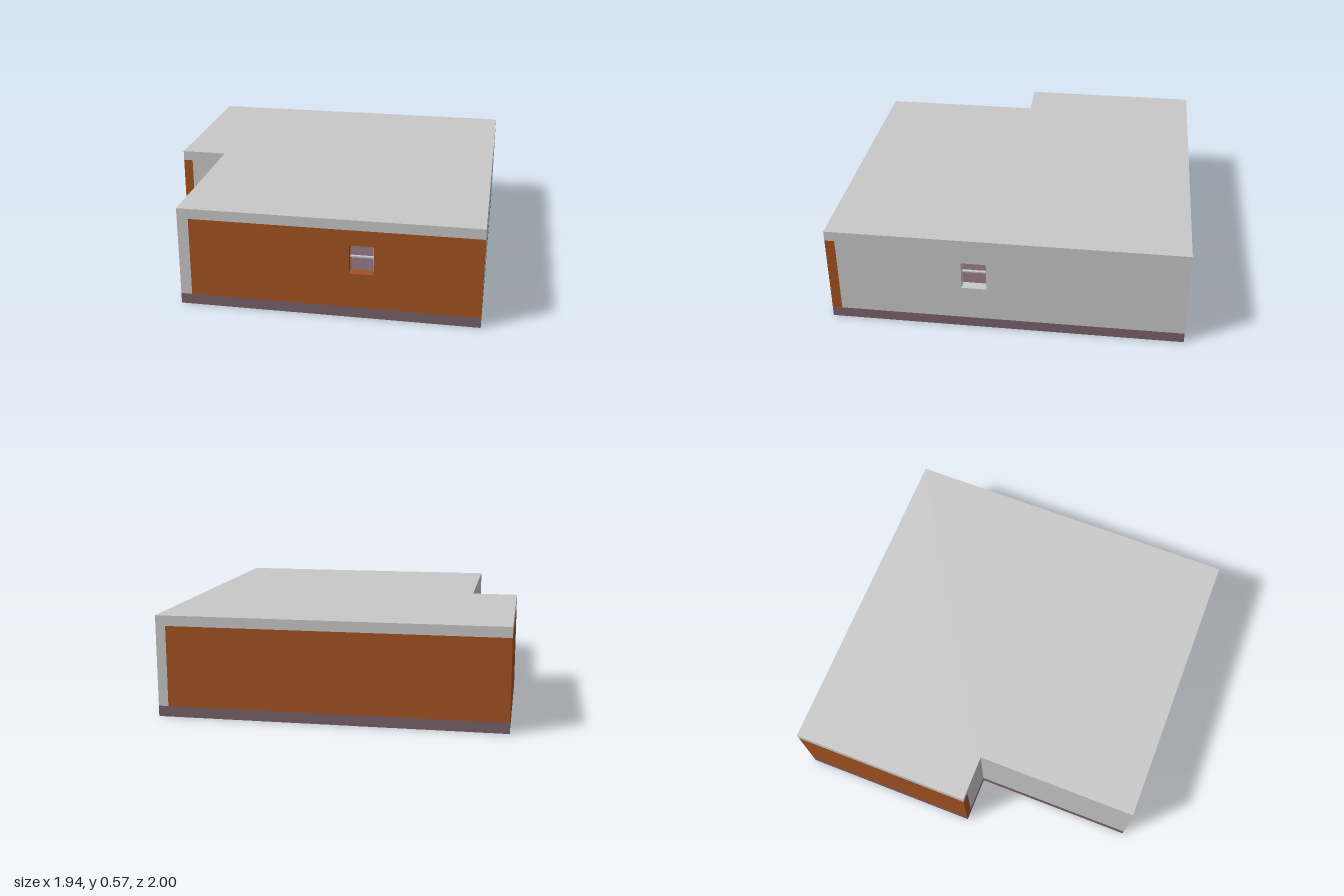
import * as THREE from 'three';

const X = 0.97, Z = 1, T = 0.056;        // half width, half depth, wall thickness
const NOTCH_X = -0.7, NOTCH_Z = 0.06;    // inner corner of the L-shaped plan
const FLOOR = 0.06, WALL_TOP = 0.515, TOP = 0.573;

export function createModel() {
  const group = new THREE.Group();
  const material = (name, color) => new THREE.MeshStandardMaterial({ name, color });
  const concrete = material('pale concrete', 0xc8c8c8);
  const brick = material('orange brick', 0xa35221);
  const base = material('mauve floor', 0x7a616b);

  const add = (name, geometry, mat) => {
    const mesh = new THREE.Mesh(geometry, mat);
    mesh.name = name;
    group.add(mesh);
    return mesh;
  };

  // L-shaped slab between two heights
  const slab = (name, y0, y1, mat) => {
    const plan = new THREE.Shape([
      [-X, Z], [X, Z], [X, -Z], [NOTCH_X, -Z], [NOTCH_X, -NOTCH_Z], [-X, -NOTCH_Z],
    ].map(([x, y]) => new THREE.Vector2(x, y)));
    const g = new THREE.ExtrudeGeometry(plan, { depth: y1 - y0, bevelEnabled: false });
    add(name, g.rotateX(-Math.PI / 2).translate(0, y0, 0), mat);
  };

  // Axis-aligned block from its limits
  const block = (name, x0, x1, y0, y1, z0, z1, mat) => {
    const g = new THREE.BoxGeometry(x1 - x0, y1 - y0, z1 - z0);
    add(name, g.translate((x0 + x1) / 2, (y0 + y1) / 2, (z0 + z1) / 2), mat);
  };
  const wall = (name, x0, x1, z0, z1, mat) => block(name, x0, x1, FLOOR, WALL_TOP, z0, z1, mat);

  // Wall outline from a to b with one window opening from w0 to w1
  const WIN0 = 0.262, WIN1 = 0.427;
  const windowWall = (a, b, w0, w1) => {
    const rect = (C, p, q, r, s) => new C([
      new THREE.Vector2(p, r), new THREE.Vector2(q, r), new THREE.Vector2(q, s), new THREE.Vector2(p, s),
    ]);
    const shape = rect(THREE.Shape, a, b, FLOOR, WALL_TOP);
    shape.holes.push(rect(THREE.Path, w0, w1, WIN0, WIN1));
    return new THREE.ExtrudeGeometry(shape, { depth: T, bevelEnabled: false });
  };

  slab('floorSlab', 0, FLOOR, base);
  slab('roofSlab', WALL_TOP, TOP, concrete);

  // Outer walls
  add('frontWall', windowWall(NOTCH_X + 0.063, X, 0.253, 0.387).translate(0, 0, Z - T), brick);
  add('leftWall', windowWall(-(Z - T), Z, -0.243, -0.103).rotateY(Math.PI / 2).translate(X - T, 0, 0), concrete);
  wall('backWall', -X, X - T, -Z, -Z + T, brick);
  wall('rightWall', -X, -X + T, -Z + T, NOTCH_Z, brick);
  wall('notchBackWall', -X + T, NOTCH_X, NOTCH_Z - T, NOTCH_Z, concrete);
  wall('notchSideWall', NOTCH_X, NOTCH_X + 0.063, NOTCH_Z - T, Z, concrete);

  // Slim window bars
  block('frontWindowPost', 0.379, 0.387, WIN0, WIN1, Z - T, Z - 0.04, concrete);
  block('frontWindowRail', 0.253, 0.379, 0.341, 0.349, Z - T, Z - 0.04, concrete);
  block('leftWindowPost', X - T, X - 0.04, WIN0, WIN1, 0.103, 0.111, concrete);
  block('leftWindowRail', X - T, X - 0.04, 0.341, 0.349, 0.111, 0.243, concrete);

  return group;
}
